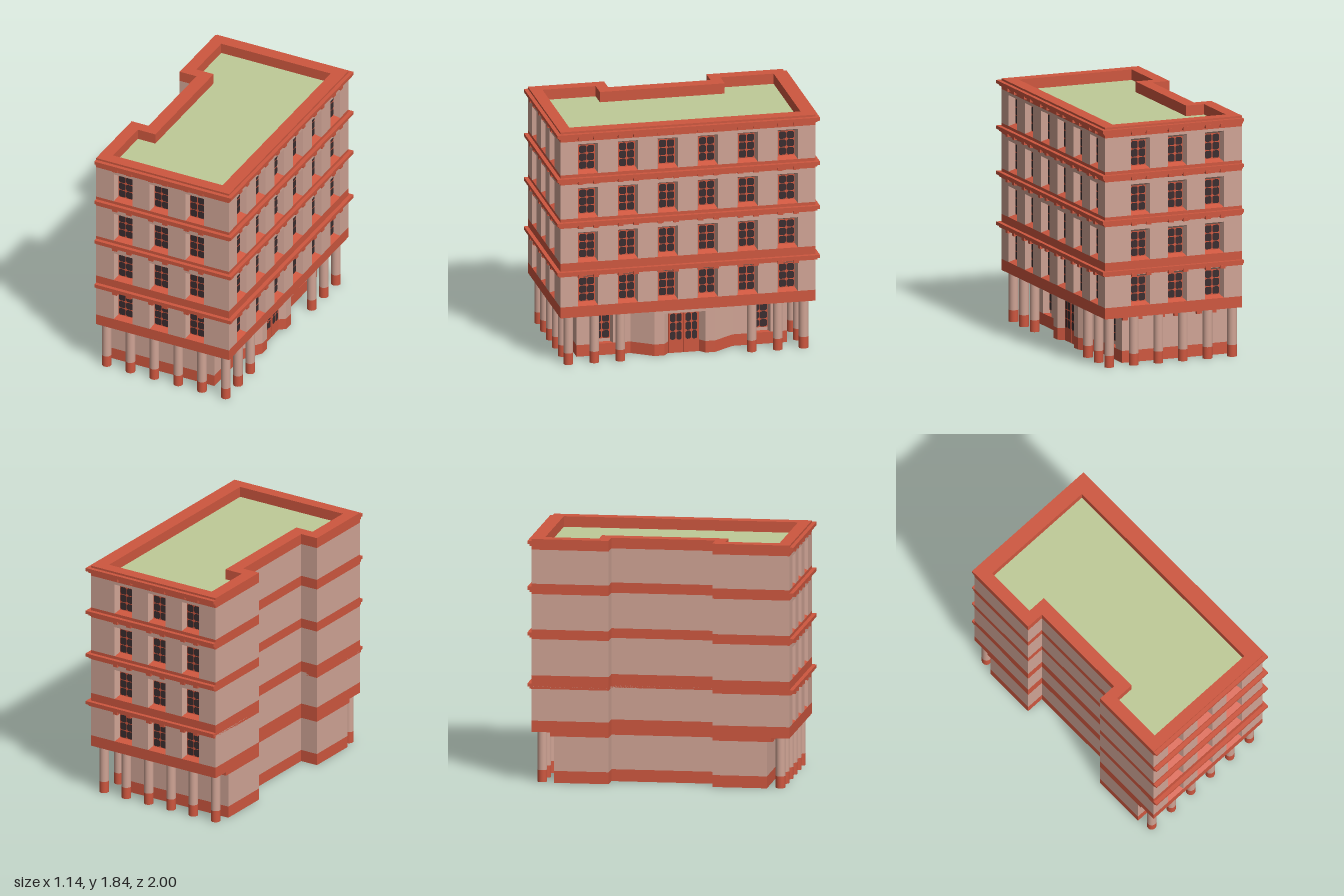
import * as THREE from 'three';

const paint = (name, color) => Object.assign(new THREE.MeshStandardMaterial({ color }), { name });

export function createModel() {
  const model = new THREE.Group();
  model.name = 'building';
  const wall = paint('pink plaster', 0xd0a495);
  const brick = paint('red trim', 0xce573f);
  const green = paint('green roof', 0xbfcb98);
  const dark = paint('dark glass', 0x3a2d2f);

  const add = (parent, name, geometry, material, x = 0, y = 0, z = 0) => {
    const mesh = new THREE.Mesh(geometry, material);
    mesh.name = name;
    mesh.position.set(x, y, z);
    parent.add(mesh);
    return mesh;
  };

  // Horizontal slab with an [x, z] outline and an optional hole
  const slab = (name, outline, y0, y1, material, hole) => {
    const flat = pts => pts.map(([x, z]) => new THREE.Vector2(x, -z));
    const shape = new THREE.Shape(flat(outline));
    if (hole) shape.holes.push(new THREE.Path(flat(hole)));
    const g = new THREE.ExtrudeGeometry(shape, { depth: y1 - y0, bevelEnabled: false });
    return add(model, name, g.rotateX(-Math.PI / 2), material, 0, y0, 0);
  };
  // Completes an outline given for z > 0
  const mirrorZ = half => [...half, ...half.map(([x, z]) => [x, -z]).reverse()];

  // Flat four-cornered faces, corners counter-clockwise from outside
  const quads = list => {
    const pos = list.flatMap(([a, b, c, d]) => [a, b, c, a, c, d].flat());
    const g = new THREE.BufferGeometry();
    g.setAttribute('position', new THREE.Float32BufferAttribute(pos, 3));
    g.computeVertexNormals();
    return g;
  };

  // Upper footprint, grown by o on the three decorated sides
  const footprint = (o = 0) => mirrorZ([[-0.43, 0.39], [-0.57, 0.39], [-0.57, 0.97 + o], [0.54 + o, 0.97 + o]]);
  const roofEdge = mirrorZ([[-0.33, 0.475], [-0.475, 0.475], [-0.475, 0.88], [0.44, 0.88]]);

  // Storeys: wall bottom and top, top of the trim band above, top of its cornice
  const storeys = [
    { y0: 0.465, y1: 0.725, band: 0.807, cornice: 0.745 },
    { y0: 0.807, y1: 1.08, band: 1.153, cornice: 1.13 },
    { y0: 1.153, y1: 1.42, band: 1.498, cornice: 1.475 },
    { y0: 1.498, y1: 1.755, band: 1.835, cornice: 1.82 },
  ];
  slab('overhangBand', footprint(), 0.38, 0.465, brick);
  storeys.forEach(({ y1, band, cornice }) => {
    slab('trimBand', footprint(), y1, band, brick, roofEdge);
    slab('corniceTop', footprint(0.03), cornice - 0.025, cornice, brick, roofEdge);
    slab('corniceUnder', footprint(0.014), cornice - 0.04, cornice - 0.025, brick, roofEdge);
  });
  slab('roof', roofEdge, 1.74, 1.755, green);

  // Plain walls on the notched side
  const side = [[-0.57, -0.97], [-0.57, -0.39], [-0.43, -0.39], [-0.43, 0.39], [-0.57, 0.39], [-0.57, 0.97]];
  storeys.forEach(({ y0, y1 }) => {
    const faces = side.slice(1).map(([x, z], i) => {
      const [px, pz] = side[i];
      return [[px, y0, pz], [x, y0, z], [x, y1, z], [px, y1, pz]];
    });
    add(model, 'plainWall', quads(faces), wall);
  });

  // Window parts, shared by every opening; origin at the middle of the sill edge
  const W = 0.0775, H = 0.235, w = 0.0635, b = 0.02, t = 0.213, D = -0.05;
  const sillGeo = quads([[[-W, 0, 0], [W, 0, 0], [w, b, D], [-w, b, D]]]);
  const revealGeo = quads([
    [[-W, 0, 0], [-w, b, D], [-w, t, D], [-W, H, 0]],
    [[W, 0, 0], [W, H, 0], [w, t, D], [w, b, D]],
    [[-W, H, 0], [-w, t, D], [w, t, D], [W, H, 0]],
  ]);
  // Two by three panes with clipped corners, filling a width and height
  const panes = (width, height) => {
    const shapes = [];
    const pw = width / 2, ph = height / 3, m = 0.003, c = 0.01;
    for (let i = 0; i < 2; i++) for (let j = 0; j < 3; j++) {
      const x0 = (i - 1) * pw + m, x1 = i * pw - m, y0 = j * ph + m, y1 = (j + 1) * ph - m;
      shapes.push(new THREE.Shape([
        [x0 + c, y0], [x1 - c, y0], [x1, y0 + c], [x1, y1 - c],
        [x1 - c, y1], [x0 + c, y1], [x0, y1 - c], [x0, y0 + c],
      ].map(p => new THREE.Vector2(...p))));
    }
    return new THREE.ShapeGeometry(shapes);
  };
  const paneGeo = panes(2 * w - 0.006, t - b - 0.006);
  const frameGeo = new THREE.PlaneGeometry(2 * w, t - b);
  const glazing = (parent, z) => {
    add(parent, 'windowFrame', frameGeo, brick, 0, (t + b) / 2, z);
    add(parent, 'windowPanes', paneGeo, dark, 0, b + 0.003, z + 0.004);
  };
  const bracketGeo = new THREE.BoxGeometry(0.04, 0.025, 0.024);
  const brackets = (parent, x, y) => [-0.059, 0.059].forEach(d =>
    add(parent, 'bracket', bracketGeo, brick, x + d, y, 0.012));

  // Windowed facade, facing local +z
  const facade = (name, width, centres, x, z, turn) => {
    const group = new THREE.Group();
    group.name = name;
    group.position.set(x, 0, z);
    group.rotation.y = turn;
    model.add(group);
    storeys.forEach(({ y0, y1, cornice }) => {
      const h = width / 2;
      const pts = [[-h, y0]];
      centres.forEach(c => pts.push([c - W, y0], [c - W, y0 + H], [c + W, y0 + H], [c + W, y0]));
      pts.push([h, y0], [h, y1], [-h, y1]);
      const shape = new THREE.Shape(pts.map(p => new THREE.Vector2(...p)));
      add(group, 'facadeWall', new THREE.ShapeGeometry(shape), wall);
      centres.forEach(c => {
        const win = new THREE.Group();
        win.name = 'window';
        win.position.set(c, y0, 0);
        group.add(win);
        add(win, 'sill', sillGeo, brick);
        add(win, 'reveal', revealGeo, wall);
        glazing(win, D);
        brackets(group, c, cornice - 0.04);
      });
    });
  };
  const ends = [-0.33, -0.03, 0.268];
  facade('frontFacade', 1.11, ends, -0.015, 0.97, 0);
  facade('backFacade', 1.11, ends.map(c => -c).reverse(), -0.015, -0.97, Math.PI);
  facade('entranceFacade', 1.94, [-0.76, -0.456, -0.152, 0.152, 0.456, 0.76], 0.54, 0, Math.PI / 2);

  // Recessed ground floor with splayed bay, door and window recesses
  const back = [[-0.43, 0.39], [-0.57, 0.39], [-0.57, 0.8], [0.33, 0.8]];
  const niche = [[0.33, 0.6 + W], [0.28, 0.6 + w], [0.28, 0.6 - w], [0.33, 0.6 - W]];
  const bay = [[0.33, 0.39], [0.44, 0.23]];
  const doorway = [[0.44, 0.155], [0.39, 0.118]];
  slab('groundBase', mirrorZ([...back, ...bay, ...doorway]), 0, 0.09, brick);
  slab('groundWall', mirrorZ([...back, ...niche, ...bay, ...doorway]), 0.09, 0.325, wall);
  slab('groundLintel', mirrorZ([...back, ...bay]), 0.325, 0.35, wall);
  slab('groundCornice', mirrorZ([[-0.43, 0.39], [-0.57, 0.39], [-0.57, 0.83], [0.36, 0.83], [0.36, 0.39], [0.45, 0.24]]),
    0.35, 0.38, brick);

  // Ground floor windows and cornice brackets
  const groundGroup = (name, x, z, turn) => {
    const g = new THREE.Group();
    g.name = name;
    g.position.set(x, 0, z);
    g.rotation.y = turn;
    model.add(g);
    return g;
  };
  [-0.6, 0.6].forEach(z => {
    const win = groundGroup('groundWindow', 0.282, z, Math.PI / 2);
    win.position.y = 0.095;
    glazing(win, 0);
    brackets(groundGroup('groundBrackets', 0.33, z, Math.PI / 2), 0, 0.338);
  });
  [1, -1].forEach(s => {
    const g = groundGroup('groundBrackets', -0.015, s * 0.8, s > 0 ? 0 : Math.PI);
    ends.forEach(c => brackets(g, s * c, 0.338));
  });

  // Double door
  const door = groundGroup('door', 0.391, 0, Math.PI / 2);
  const leafPanes = panes(0.094, 0.21);
  [-0.059, 0.059].forEach(x => {
    add(door, 'doorLeaf', new THREE.BoxGeometry(0.115, 0.325, 0.008), brick, x, 0.1625, 0);
    add(door, 'doorPanes', leafPanes, dark, x, 0.1, 0.007);
  });

  // Columns around the overhang
  const shaft = new THREE.CylinderGeometry(0.036, 0.036, 0.29, 16);
  const foot = new THREE.CylinderGeometry(0.036, 0.036, 0.09, 16);
  const column = (x, z) => {
    add(model, 'columnShaft', shaft, wall, x, 0.235, z);
    add(model, 'columnFoot', foot, brick, x, 0.045, z);
  };
  [1, -1].forEach(s => {
    for (let i = 0; i < 6; i++) column(-0.52 + i * 0.199, s * 0.895);
    column(0.475, s * 0.698);
    column(0.475, s * 0.5);
  });
  return model;
}
